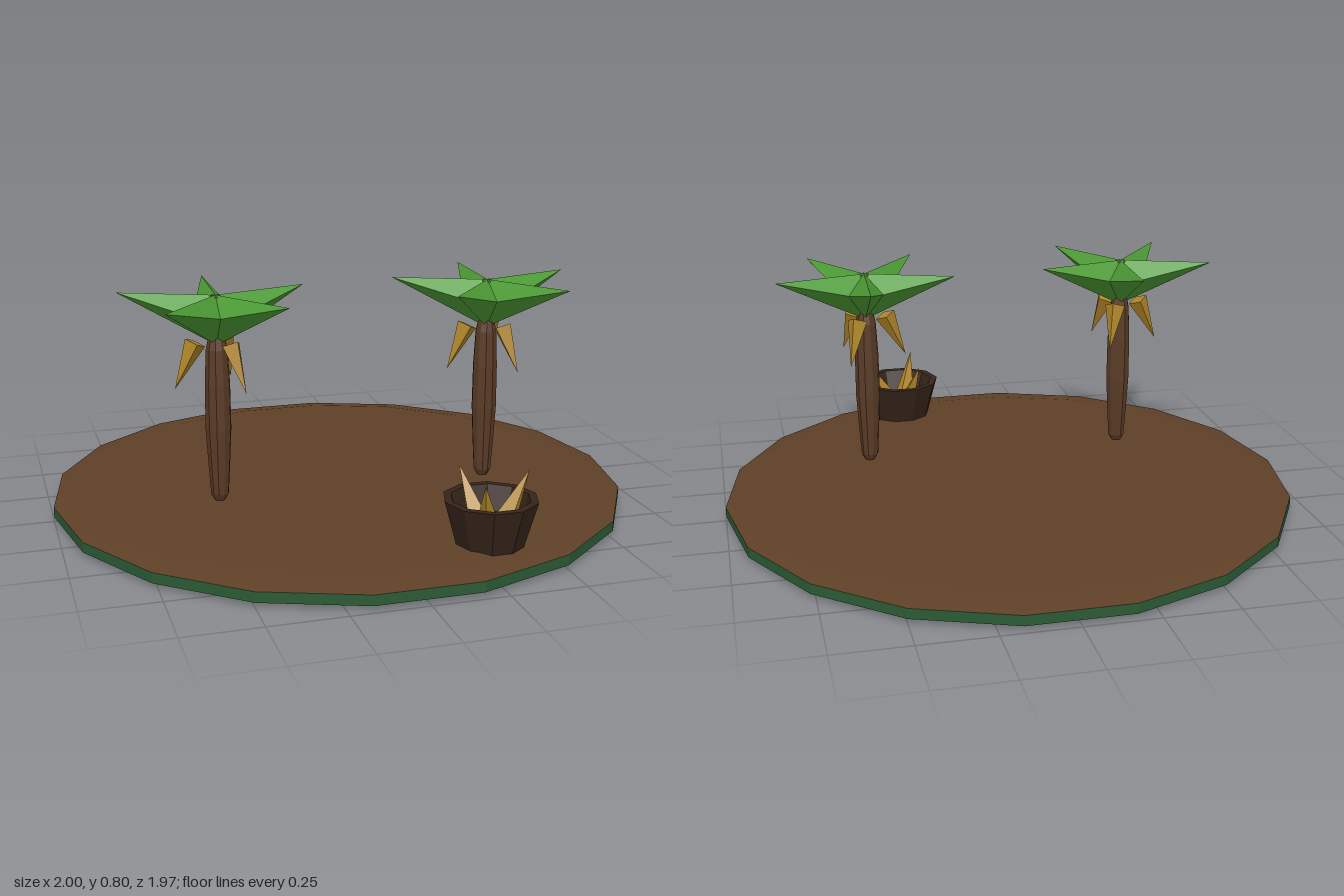
import * as THREE from 'three';

const mat = (color, flatShading = true) => new THREE.MeshStandardMaterial({ color, flatShading });
const soil = mat(0x5f4027, false);
const grass = mat(0x2a5a35);
const bark = mat(0x5a3b26);
const leaf = mat(0x4c9a34);
const fruit = mat(0xb08628);
const wicker = mat(0x35241a);

function add(parent, name, geometry, material) {
  const mesh = new THREE.Mesh(geometry, material);
  mesh.name = name;
  parent.add(mesh);
  return mesh;
}

// Surface of revolution from [radius, y] pairs, with a corner on the x axis
function lathe(profile, sides) {
  const points = profile.map(([r, y]) => new THREE.Vector2(r, y));
  return new THREE.LatheGeometry(points, sides, Math.PI / 2);
}

// Ring of four-sided spikes; base and tip are [distance from axis, y]
function spikeRing(parent, name, count, startAngle, base, tip, radius, material) {
  const up = new THREE.Vector3(0, 1, 0);
  const axis = new THREE.Vector3(tip[0] - base[0], tip[1] - base[1], 0);
  const length = axis.length();
  const turn = new THREE.Quaternion().setFromUnitVectors(up, axis.normalize());
  for (let i = 0; i < count; i++) {
    // A ridge faces straight up along each spike
    const g = new THREE.ConeGeometry(radius, length, 4);
    g.translate(0, length / 2, 0);
    g.applyQuaternion(turn);
    g.translate(base[0], base[1], 0);
    g.rotateY(startAngle + (i * Math.PI * 2) / count);
    add(parent, name, g, material);
  }
}

function palmTree() {
  const palm = new THREE.Group();
  palm.name = 'palmTree';
  add(palm, 'trunk', lathe([[0, 0.095], [0.018, 0.102], [0.03, 0.125], [0.036, 0.22],
    [0.043, 0.35], [0.042, 0.5], [0.036, 0.62], [0.025, 0.67], [0, 0.68]], 10), bark);
  // Five fronds and three hanging fruits
  spikeRing(palm, 'frond', 5, Math.PI / 2 - 0.05, [0, 0.72], [0.325, 0.8], 0.08, leaf);
  spikeRing(palm, 'hangingFruit', 3, Math.PI, [0.07, 0.645], [0.14, 0.495], 0.036, fruit);
  return palm;
}

function fruitBasket() {
  const basket = new THREE.Group();
  basket.name = 'fruitBasket';
  // Closed bowl: underside, outer wall, rim, inner wall, floor
  add(basket, 'bowl', lathe([[0, 0.07], [0.11, 0.07], [0.152, 0.22], [0.127, 0.22],
    [0.1, 0.14], [0, 0.14]], 10), wicker);
  spikeRing(basket, 'basketFruit', 3, 0, [0.055, 0.15], [0.128, 0.3], 0.037, fruit);
  return basket;
}

export function createModel() {
  const model = new THREE.Group();
  model.name = 'palmIsland';

  // Eighteen-sided island: grassy rim and underside, shallow soil dome
  add(model, 'islandBase', lathe([[0, 0], [0.98, 0.012], [1, 0.015], [1, 0.05]], 18), grass);
  add(model, 'ground', lathe([[1, 0.05], [0.87, 0.077], [0.4, 0.085], [0, 0.087]], 18), soil);

  for (const x of [-0.468, 0.47]) {
    const palm = palmTree();
    palm.position.set(x, 0, 0.215);
    model.add(palm);
  }

  const basket = fruitBasket();
  basket.position.set(0.28, 0, 0.75);
  model.add(basket);
  return model;
}
